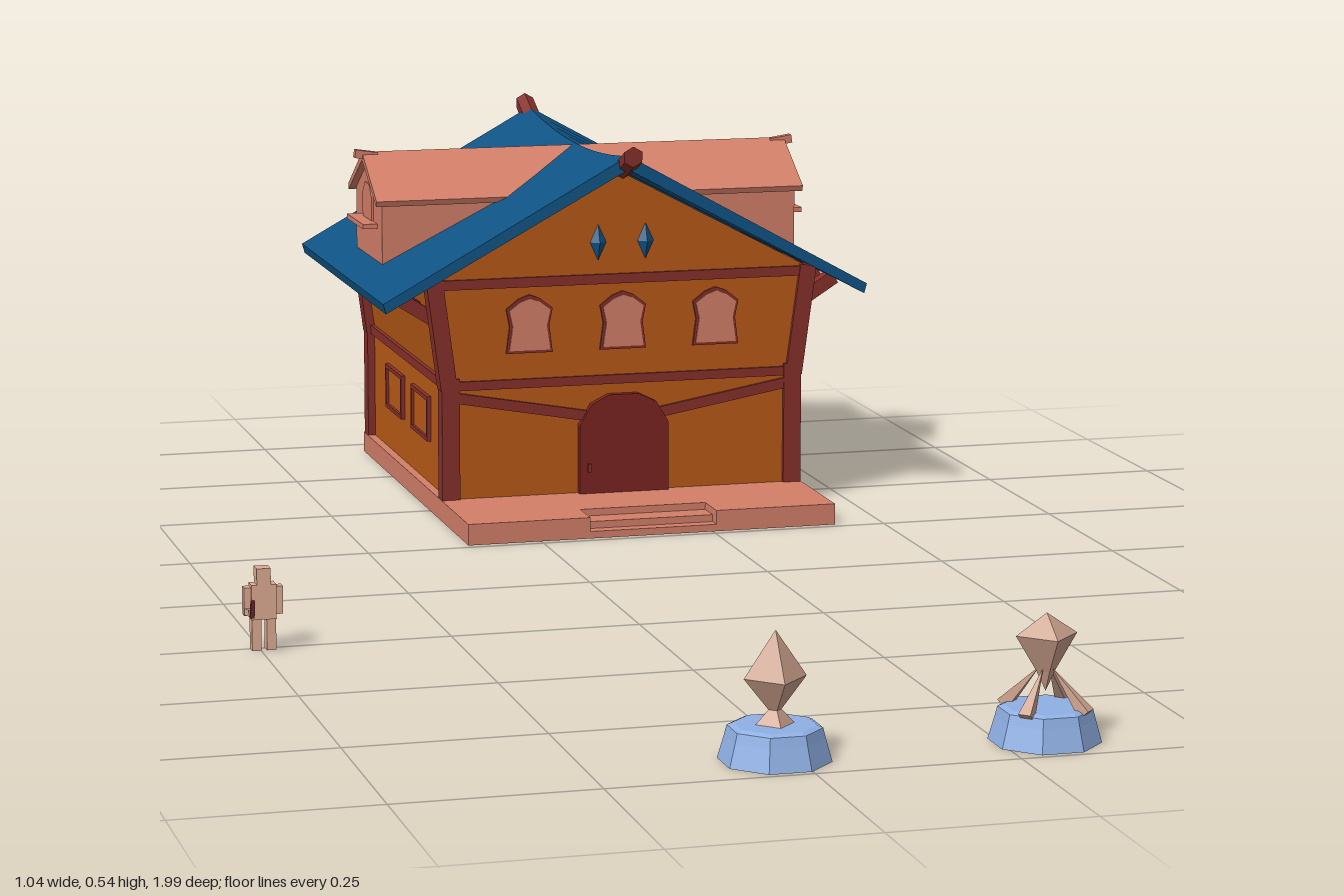
import * as THREE from 'three';

const mat = (color) => new THREE.MeshStandardMaterial({ color, flatShading: true });
const M = {
  wall: mat(0xb85a16), beam: mat(0x87302a), door: mat(0x7a2420), roof: mat(0x0f5485),
  pink: mat(0xd37f68), base: mat(0x8fb0e4), stone: mat(0xcba08c), skin: mat(0xe0ac94),
};

function add(parent, name, geo, material, x = 0, y = 0, z = 0) {
  const m = new THREE.Mesh(geo, material);
  m.name = name;
  m.position.set(x, y, z);
  parent.add(m);
  return m;
}
const box = (p, name, material, w, h, d, x, y, z) =>
  add(p, name, new THREE.BoxGeometry(w, h, d), material, x, y, z);

// Square bar running between two points
function bar(p, name, material, a, b, w, d) {
  const A = new THREE.Vector3(...a), B = new THREE.Vector3(...b);
  const m = box(p, name, material, w, A.distanceTo(B), d, 0, 0, 0);
  m.position.copy(A).add(B).multiplyScalar(0.5);
  m.quaternion.setFromUnitVectors(new THREE.Vector3(0, 1, 0), B.sub(A).normalize());
  return m;
}

// Prism from a half outline (bottom to top), mirrored about x = 0
function prism(half, depth, steps = 1) {
  const left = half.filter(([x]) => x > 0).reverse().map(([x, y]) => [-x, y]);
  const pts = [...half, ...left].map(([x, y]) => new THREE.Vector2(x, y));
  return new THREE.ExtrudeGeometry(new THREE.Shape(pts), { depth, steps, bevelEnabled: false });
}

const MID = -0.685; // middle of the house in z
const sag = (z) => ((z - MID) / 0.287) ** 2;

function buildHouse() {
  const g = new THREE.Group();
  g.name = 'house';
  g.position.x = 0.163;

  // Floor slab with a notch for the steps
  const slab = prism([[0.268, 0.95], [0.268, 0.262], [0.092, 0.262], [0.092, 0.318]].reverse(), 0.03);
  slab.rotateX(-Math.PI / 2);
  add(g, 'floorSlab', slab, M.pink);
  for (let i = 0; i < 2; i++)
    box(g, 'step', M.pink, 0.184, 0.01 * (i + 1), 0.057 - 0.019 * i, 0, 0.005 * (i + 1), -0.2905 - 0.0095 * i);

  // Walls: upright below, leaning out above, gable on top
  const walls = prism([[0.256, 0.025], [0.256, 0.2], [0.278, 0.345], [0, 0.492]], 0.51);
  add(g, 'walls', walls, M.wall, 0, 0, -0.94);

  // Timber frame
  for (const z of [-0.437, -0.935]) {
    for (const s of [-1, 1]) {
      box(g, 'lowerPost', M.beam, 0.026, 0.175, 0.026, s * 0.254, 0.1175, z);
      bar(g, 'upperPost', M.beam, [s * 0.256, 0.19, z], [s * 0.277, 0.348, z], 0.024, 0.026);
    }
    box(g, 'middleBeam', M.beam, 0.52, 0.013, 0.022, 0, 0.194, z);
    box(g, 'upperBeam', M.beam, 0.55, 0.014, 0.022, 0, 0.34, z);
  }
  for (const s of [-1, 1]) {
    box(g, 'sideBeam', M.beam, 0.02, 0.013, 0.5, s * 0.252, 0.194, MID);
    bar(g, 'brace', M.beam, [s * 0.25, 0.178, -0.432], [s * 0.055, 0.143, -0.432], 0.015, 0.014);
    // Rafter brackets under the eaves
    for (let i = 0; i < 6; i++) {
      const z = -0.47 - 0.082 * i;
      bar(g, 'eaveBracket', M.beam, [s * 0.265, 0.283, z], [s * 0.328, 0.323, z], 0.02, 0.02);
    }
    // Side windows with a thin frame
    for (const z of [-0.597, -0.768]) {
      const x = s * 0.256;
      for (const e of [-1, 1]) {
        box(g, 'sideWindowFrame', M.beam, 0.012, 0.006, 0.108, x, 0.126 + e * 0.03, z);
        box(g, 'sideWindowFrame', M.beam, 0.012, 0.066, 0.006, x, 0.126, z + e * 0.051);
      }
      box(g, 'sideWindowPane', M.wall, 0.004, 0.056, 0.098, x, 0.126, z);
    }
  }

  // Door with a faceted arch
  add(g, 'door', prism([[0.066, 0], [0.066, 0.1], [0.048, 0.13], [0.022, 0.143]], 0.015), M.door, 0, 0.03, -0.434);
  box(g, 'doorHandle', M.beam, 0.005, 0.012, 0.005, -0.052, 0.068, -0.417);

  // Front windows
  const pane = [[0.03, 0], [0.025, 0.035], [0.03, 0.058], [0.014, 0.07], [0, 0.075]];
  const rim = [[0.034, -0.004], [0.029, 0.035], [0.034, 0.06], [0.016, 0.074], [0, 0.08]];
  for (const x of [-0.138, 0, 0.138]) {
    add(g, 'windowFrame', prism(rim, 0.008), M.beam, x, 0.242, -0.434);
    add(g, 'windowPane', prism(pane, 0.01), M.pink, x, 0.242, -0.434);
  }

  // Diamond gable lights
  for (const x of [-0.036, 0.034]) {
    const d = add(g, 'gableDiamond', new THREE.OctahedronGeometry(1), M.roof, x, 0.393, -0.43);
    d.scale.set(0.012, 0.026, 0.01);
  }

  // Main roof: the ridge sags in the middle
  const roof = prism([[0, 0.48], [0.353, 0.308], [0.357, 0.322], [0, 0.5]], 0.574, 12);
  roof.translate(0, 0, MID - 0.287);
  const p = roof.attributes.position;
  for (let i = 0; i < p.count; i++)
    if (Math.abs(p.getX(i)) < 1e-4) p.setY(i, p.getY(i) + 0.02 * sag(p.getZ(i)));
  roof.computeVertexNormals();
  add(g, 'mainRoof', roof, M.roof);

  // Ridge beam following the sag, with upturned ends
  const ridge = new THREE.CylinderGeometry(0.015, 0.015, 0.627, 6, 14);
  ridge.rotateX(Math.PI / 2).translate(0, 0, MID - 0.001);
  const r = ridge.attributes.position;
  for (let i = 0; i < r.count; i++) {
    const t = sag(r.getZ(i));
    r.setY(i, r.getY(i) + 0.478 + 0.02 * t + 0.01 * t ** 4);
  }
  ridge.computeVertexNormals();
  add(g, 'ridgeBeam', ridge, M.beam);

  for (const s of [1, -1]) g.add(buildDormer(s));
  return g;
}

function buildDormer(side) {
  const g = new THREE.Group();
  g.name = side > 0 ? 'leftDormer' : 'rightDormer';
  // Local +z points outward through the gable
  g.rotation.y = side * Math.PI / 2;
  g.position.z = -0.695;
  add(g, 'dormerWalls', prism([[0.088, 0.325], [0.088, 0.435], [0, 0.488]], 0.312), M.pink);
  add(g, 'dormerRoof', prism([[0, 0.486], [0.095, 0.43], [0.098, 0.438], [0, 0.498]], 0.322), M.pink);
  bar(g, 'dormerRidgeTip', M.pink, [0, 0.491, 0.3], [0, 0.496, 0.333], 0.012, 0.012);
  box(g, 'dormerSill', M.pink, 0.112, 0.007, 0.025, 0, 0.396, 0.321);
  // Small arched window
  add(g, 'dormerWindow', prism([[0.03, 0], [0.03, 0.035], [0.015, 0.052]], 0.005), M.pink, 0, 0.4, 0.31);
  return g;
}

function pedestal(name, x) {
  const g = new THREE.Group();
  g.name = name;
  g.position.set(x, 0, 0.93);
  const prof = [[0, 0], [0.067, 0], [0.059, 0.028], [0.056, 0.04], [0.049, 0.043], [0, 0.043]];
  const base = add(g, 'pedestal', new THREE.LatheGeometry(prof.map((q) => new THREE.Vector2(...q)), 8), M.base);
  base.rotation.y = Math.PI / 8;
  return g;
}
const gem = (g, prof) =>
  add(g, 'crystal', new THREE.LatheGeometry(prof.map((q) => new THREE.Vector2(...q)), 4), M.stone);

function buildFigure() {
  const g = new THREE.Group();
  g.name = 'figure';
  g.position.set(-0.496, 0, 0.255);
  box(g, 'head', M.skin, 0.018, 0.021, 0.02, 0, 0.096, 0);
  box(g, 'torso', M.skin, 0.032, 0.045, 0.02, 0, 0.063, 0);
  for (const s of [-1, 1]) {
    box(g, 'leg', M.skin, 0.012, 0.044, 0.016, s * 0.0095, 0.022, 0);
    box(g, 'upperArm', M.skin, 0.009, 0.036, 0.013, s * 0.0205, 0.064, 0);
  }
  bar(g, 'forearm', M.skin, [-0.0205, 0.05, 0], [-0.0205, 0.056, 0.035], 0.008, 0.008);
  bar(g, 'heldTool', M.beam, [-0.0205, 0.05, 0.035], [-0.0205, 0.073, 0.042], 0.005, 0.005);
  return g;
}

export function createModel() {
  const model = new THREE.Group();
  model.name = 'houseScene';
  model.add(buildHouse(), buildFigure());

  // Pointed crystal on a flared foot
  const a = pedestal('pointedStatue', -0.027);
  gem(a, [[0.026, 0.04], [0.008, 0.06], [0.038, 0.098], [0, 0.154]]);
  // Cut gem held on four splayed legs
  const b = pedestal('legStatue', 0.304);
  gem(b, [[0, 0.06], [0.012, 0.085], [0.038, 0.128], [0, 0.154]]);
  for (let i = 0; i < 4; i++) {
    const t = (i + 0.5) * Math.PI / 2, c = Math.cos(t), s = Math.sin(t);
    const leg = new THREE.ConeGeometry(0.011, 0.068, 4);
    leg.translate(0, 0.0, 0);
    const m = add(b, 'statueLeg', leg, M.stone, c * 0.03, 0.064, s * 0.03);
    m.quaternion.setFromUnitVectors(new THREE.Vector3(0, 1, 0), new THREE.Vector3(c * -0.8, 0.9, s * -0.8).normalize());
  }
  model.add(a, b);
  return model;
}
